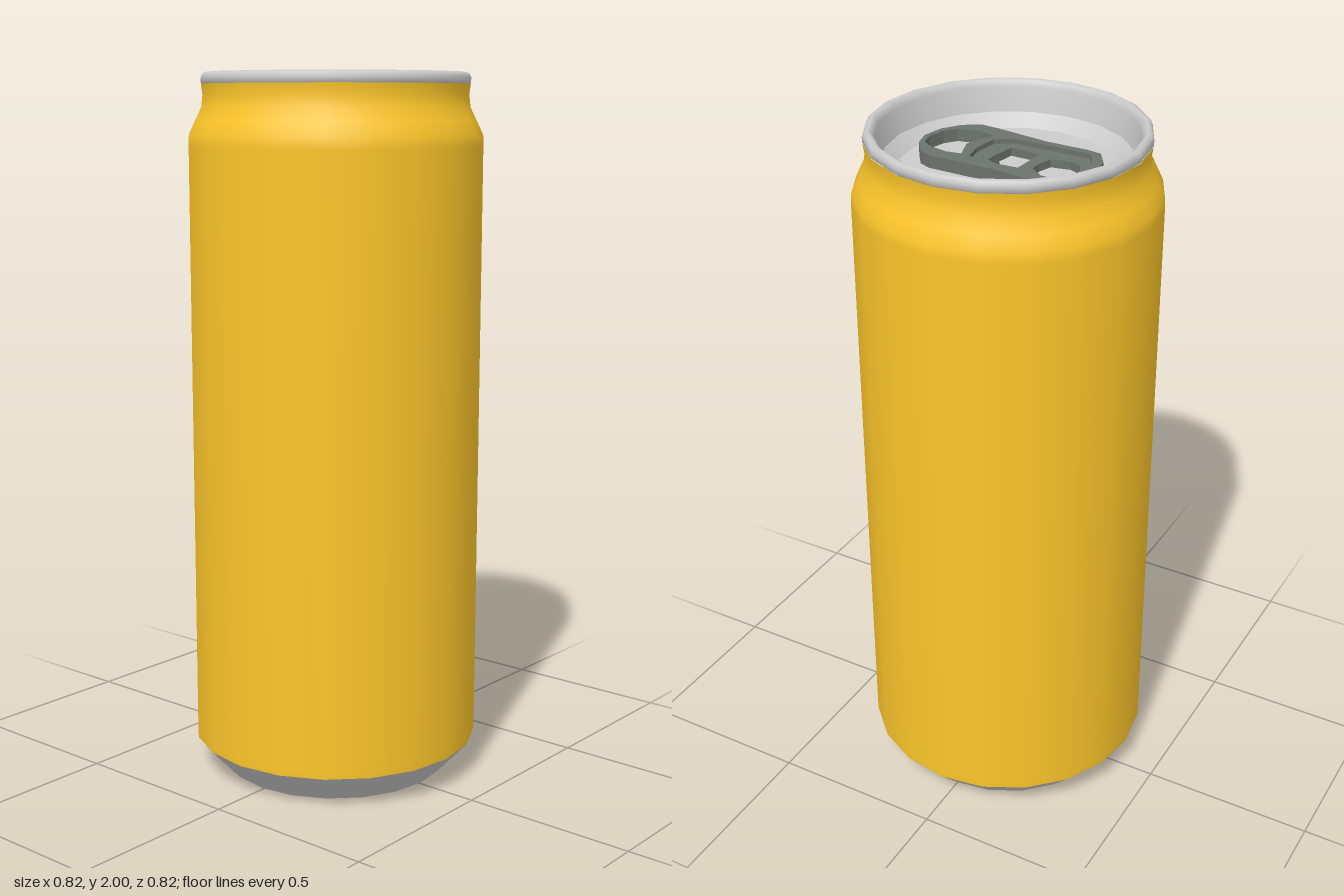
import * as THREE from 'three';

const SIDES = 20;
const grey = new THREE.MeshStandardMaterial({ color: 0xcccccc });
const yellow = new THREE.MeshStandardMaterial({ color: 0xfcc62a });
const darkGrey = new THREE.MeshStandardMaterial({ color: 0x6c726c });

const points = (list) => list.map(([x, y]) => new THREE.Vector2(x, y));

// Turned part; the [radius, height] profile runs up the outside
function turned(name, profile, material) {
  const mesh = new THREE.Mesh(new THREE.LatheGeometry(points(profile), SIDES), material);
  mesh.name = name;
  return mesh;
}

// Flat plate drawn in [x, z], with holes, between two heights
function plate(name, outline, holes, bottom, top) {
  const shape = new THREE.Shape(points(outline));
  for (const hole of holes) shape.holes.push(new THREE.Path(points(hole)));
  const geometry = new THREE.ExtrudeGeometry(shape, { depth: top - bottom, bevelEnabled: false });
  geometry.rotateX(Math.PI / 2).translate(0, top, 0);
  const mesh = new THREE.Mesh(geometry, darkGrey);
  mesh.name = name;
  return mesh;
}

function createPullTab() {
  const outline = [
    [0, -0.255], [0.055, -0.245], [0.113, -0.215], [0.133, -0.18], [0.133, -0.14], [0.118, -0.02],
    [0.115, 0.17], [0.1, 0.205], [0.05, 0.24], [0, 0.253], [-0.06, 0.24], [-0.11, 0.205],
    [-0.14, 0.16], [-0.135, 0.1], [-0.115, -0.05], [-0.115, -0.17], [-0.108, -0.212], [-0.06, -0.243],
  ];
  const recess = [
    [0, -0.22], [0.05, -0.215], [0.1, -0.195], [0.12, -0.13], [0.09, -0.03], [0.086, 0.045],
    [0.065, 0.078], [0.01, 0.088], [-0.06, 0.078], [-0.09, 0.035], [-0.092, -0.08], [-0.092, -0.19], [-0.05, -0.215],
  ];
  const fingerHole = [
    [-0.083, 0.088], [-0.04, 0.115], [0, 0.125], [0.065, 0.103], [0.072, 0.145], [0.06, 0.2],
    [0.04, 0.228], [0, 0.238], [-0.05, 0.225], [-0.082, 0.2], [-0.095, 0.14],
  ];
  const roundHole = [
    [-0.05, -0.155], [-0.035, -0.19], [0, -0.207], [0.045, -0.2], [0.068, -0.165],
    [0.066, -0.13], [0.035, -0.09], [0, -0.09], [-0.04, -0.102],
  ];
  const squareHole = [
    [-0.058, -0.062], [0.05, -0.055], [0.053, 0.01], [0.038, 0.038], [0, 0.035], [-0.06, 0.025],
  ];
  const tab = new THREE.Group();
  tab.name = 'pullTab';
  tab.add(plate('tabFrame', outline, [recess, fingerHole], 1.89, 1.925));
  tab.add(plate('tabPlate', recess, [roundHole, squareHole], 1.89, 1.912));
  return tab;
}

export function createModel() {
  const can = new THREE.Group();
  can.name = 'drinkCan';
  can.add(
    // Domed base and its chamfer
    turned('baseDome', [[0, 0.09], [0.1, 0.082], [0.2, 0.058], [0.27, 0.028], [0.31, 0]], grey),
    turned('baseChamfer', [[0.31, 0], [0.325, 0.006], [0.41, 0.098]], grey),
    // Painted wall, shoulder and neck
    turned('body', [
      [0.41, 0.098], [0.411, 0.12], [0.411, 1.8], [0.41, 1.83], [0.392, 1.868], [0.374, 1.905],
      [0.37, 1.94], [0.374, 1.968],
    ], yellow),
    // Rolled rim running down into the recess
    turned('rim', [
      [0.364, 1.962], [0.374, 1.97], [0.375, 1.985], [0.37, 1.996], [0.36, 2], [0.35, 1.994], [0.344, 1.98], [0.33, 1.914],
    ], grey),
    turned('recessStep', [[0.33, 1.914], [0.295, 1.88]], grey),
    turned('lid', [[0.295, 1.88], [0, 1.88]], grey),
    createPullTab(),
  );
  // Stud holding the tab to the lid
  const stud = new THREE.Mesh(new THREE.CylinderGeometry(0.025, 0.03, 0.03, 10), darkGrey);
  stud.name = 'tabStud';
  stud.position.set(0, 1.892, 0.06);
  can.add(stud);
  return can;
}
